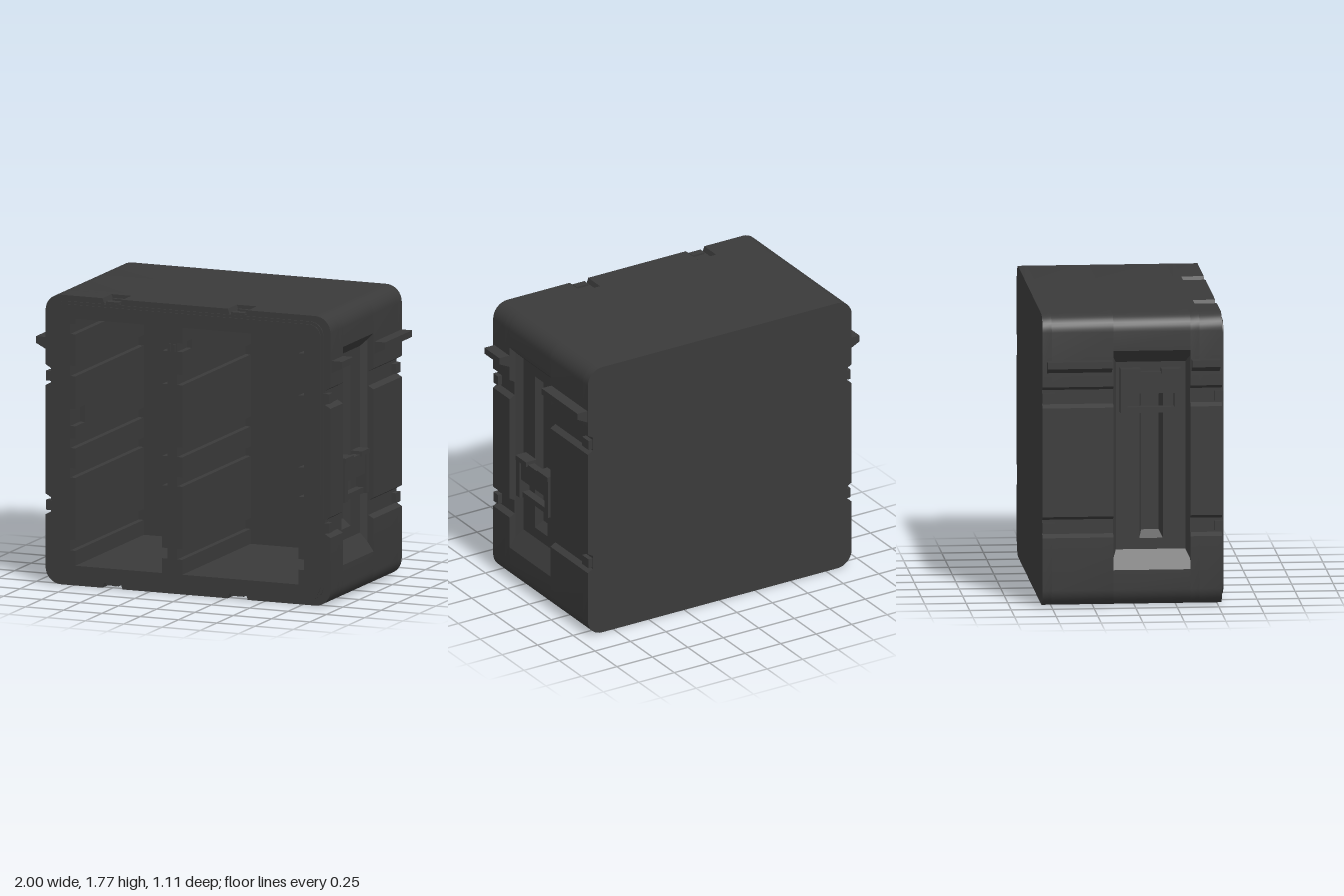
import * as THREE from 'three';
import { toCreasedNormals } from 'three/addons/utils/BufferGeometryUtils.js';

const W = 0.93, H = 1.77, R = 0.1;
const GROOVES = [0.42, 1.21];          // lower edges of the side grooves
const CLIPS = [-0.493, 0.325];         // centres of the lid clip seats
const RUNNERS = [[0.214, 0.279], [0.66, 0.718], [0.84, 0.9], [1.28, 1.344]];

const material = new THREE.MeshStandardMaterial({ color: 0x3a3a3a, side: THREE.DoubleSide });

export function createModel() {
  const model = new THREE.Group();

  const add = (name, geometry, parent = model) => {
    const mesh = new THREE.Mesh(geometry, material);
    mesh.name = name;
    parent.add(mesh);
    return mesh;
  };
  const box = (name, x0, x1, y0, y1, z0, z1, parent) => {
    const g = new THREE.BoxGeometry(Math.abs(x1 - x0), y1 - y0, z1 - z0);
    g.translate((x0 + x1) / 2, (y0 + y1) / 2, (z0 + z1) / 2);
    return add(name, g, parent);
  };
  const toShape = (pts) => new THREE.Shape(pts.map(([x, y]) => new THREE.Vector2(x, y)));
  const extrude = (name, pts, z0, z1, holes = [], parent) => {
    const shape = toShape(pts);
    shape.holes = holes.map(toShape);
    const g = new THREE.ExtrudeGeometry(shape, { depth: z1 - z0, bevelEnabled: false });
    g.translate(0, 0, z0);
    return add(name, toCreasedNormals(g, 0.45), parent);
  };
  const arc = (cx, cy, r, a0) => Array.from({ length: 9 }, (_, i) => {
    const a = a0 + (i / 8) * Math.PI / 2;
    return [cx + r * Math.cos(a), cy + r * Math.sin(a)];
  });
  const roundRect = (w, y0, y1, r) => [
    ...arc(w - r, y0 + r, r, -Math.PI / 2), ...arc(w - r, y1 - r, r, 0),
    ...arc(-w + r, y1 - r, r, Math.PI / 2), ...arc(-w + r, y0 + r, r, Math.PI)];

  // Shell outline: side grooves or a deep side recess, optional clip seats
  const outline = ({ recess = false, clips = false }) => {
    const side = [...arc(W - R, R, R, -Math.PI / 2)];
    if (recess) {
      side.push([W, 0.22], [0.89, 0.277], [0.78, 0.25], [0.78, 1.53], [0.89, 1.514], [W, 1.554]);
    } else {
      for (const y of GROOVES) {
        side.push([W, y], [0.895, y + 0.02], [0.895, y + 0.107], [W, y + 0.128]);
      }
    }
    side.push(...arc(W - R, H - R, R, 0));
    const seat = (c, y, d, dir) => [
      [c - dir * 0.065, y], [c - dir * 0.055, y + d], [c + dir * 0.055, y + d], [c + dir * 0.065, y]];
    const top = clips ? [...CLIPS].reverse().flatMap((c) => seat(c, H, -0.03, -1)) : [];
    const bottom = clips ? CLIPS.flatMap((c) => seat(c, 0, 0.03, 1)) : [];
    return [...side, ...top, ...side.map(([x, y]) => [-x, y]).reverse(), ...bottom];
  };

  // Drawer bay outline with runner slots in both walls
  const bay = (x0, x1, left, right) => {
    const d = 0.034;
    const pts = [[x0, 0.123], [x1, 0.123]];
    for (const [a, b] of right) pts.push([x1, a], [x1 + d, a], [x1 + d, b], [x1, b]);
    pts.push([x1, 1.633], [x0, 1.633]);
    for (const [a, b] of [...left].reverse()) pts.push([x0, b], [x0 - d, b], [x0 - d, a], [x0, a]);
    return pts;
  };
  const outer = [...RUNNERS, [1.537, 1.6]];
  const inner = [...RUNNERS, [1.483, 1.537]];
  const withStop = [...RUNNERS.slice(0, 3), [0.975, 1.08], RUNNERS[3], [1.537, 1.6]];
  const bays = [bay(-0.73, -0.163, outer, RUNNERS), bay(-0.032, 0.727, RUNNERS, outer)];
  const frontBays = [bay(-0.73, -0.163, withStop, inner), bay(-0.032, 0.727, inner, outer)];

  // Shell, from back to front
  extrude('backWall', outline({}), -0.555, -0.5);
  extrude('rearShell', outline({}), -0.5, -0.128, bays);
  extrude('middleShell', outline({ recess: true }), -0.128, 0.336, bays);
  extrude('frontShell', outline({}), 0.336, 0.39, bays);
  extrude('frontRim', outline({ clips: true }), 0.39, 0.525, frontBays);
  extrude('lidSeatStep', roundRect(0.885, 0.035, 1.735, 0.085), 0.525, 0.532, frontBays);
  extrude('lidSeat', roundRect(0.868, 0.052, 1.718, 0.07), 0.532, 0.538, frontBays);

  // Pads in the clip seats, top and bottom
  for (const c of CLIPS) {
    for (const [y0, y1] of [[H - 0.035, H - 0.018], [0.018, 0.035]]) {
      box('clipPad', c - 0.042, c + 0.042, y0, y1, 0.41, 0.43);
      box('clipPad', c - 0.042, c + 0.042, y0, y1, 0.485, 0.53);
    }
  }

  // Small catch on the divider
  for (const x of [-0.11, -0.08]) box('dividerCatch', x - 0.006, x + 0.006, 1.483, 1.53, 0.53, 0.557);

  // Stepped pocket lofted through rectangles, closed by a floor
  const pocket = (s) => {
    const rings = [
      [0.89, 0.277, 1.514, -0.128, 0.336], [0.85, 0.333, 1.474, -0.108, 0.31],
      [0.85, 0.4, 1.408, 0.033, 0.175], [0.805, 0.445, 1.366, 0.048, 0.152]];
    const corners = rings.map(([x, y0, y1, z0, z1]) =>
      [[x * s, y0, z1], [x * s, y0, z0], [x * s, y1, z0], [x * s, y1, z1]]);
    const pos = [];
    const quad = (a, b, c, d) => pos.push(...(s > 0 ? [a, b, c, a, c, d] : [a, c, b, a, d, c]).flat());
    for (let r = 0; r < 3; r++) {
      for (let i = 0; i < 4; i++) {
        const j = (i + 1) % 4;
        quad(corners[r][i], corners[r][j], corners[r + 1][j], corners[r + 1][i]);
      }
    }
    quad(...corners[3]);
    const g = new THREE.BufferGeometry();
    g.setAttribute('position', new THREE.Float32BufferAttribute(pos, 3));
    g.computeVertexNormals();
    return g;
  };

  for (const s of [1, -1]) {
    const side = new THREE.Group();
    side.name = s > 0 ? 'leftSide' : 'rightSide';
    model.add(side);
    add('handlePocket', pocket(s), side);

    // Wedge-shaped stacking rails
    const wedge = [[0.92, 1.5], [1, 1.5], [1, 1.46], [0.92, 1.42]].map(([x, y]) => [x * s, y]);
    extrude('rearRail', wedge, s > 0 ? -0.55 : -0.53, -0.14, [], side);
    extrude('frontRail', wedge, 0.34, 0.51, [], side);

    // Pads at both ends of each groove
    for (const y of GROOVES) {
      for (const [z0, z1] of [[0.48, 0.533], [-0.553, -0.48]]) {
        box('groovePad', s * 0.885, s * 0.924, y + 0.03, y + 0.09, z0, z1, side);
      }
    }

    // Sliding handle, parked at a different height on each side
    const handle = new THREE.Group();
    handle.name = 'handle';
    handle.position.y = s > 0 ? 0 : 0.58;
    side.add(handle);
    const part = (name, x0, x1, y0, y1, z0, z1) => box(name, s * x0, s * x1, y0, y1, z0, z1, handle);
    part('handleGrip', 0.85, 0.925, 0.83, 0.86, -0.085, 0.155 - 0.12);
    part('handleGrip', 0.85, 0.925, 0.83, 0.86, 0.16, 0.28);
    part('handlePlate', 0.865, 0.91, 0.71, 0.84, -0.045, 0.24);
    part('handleArm', 0.85, 0.92, 0.59, 0.84, 0.24, 0.28);
    part('handleArm', 0.85, 0.92, 0.59, 0.84, -0.085, -0.045);
    part('handleBar', 0.85, 0.9, 0.59, 0.625, -0.045, 0.24);
  }
  return model;
}
